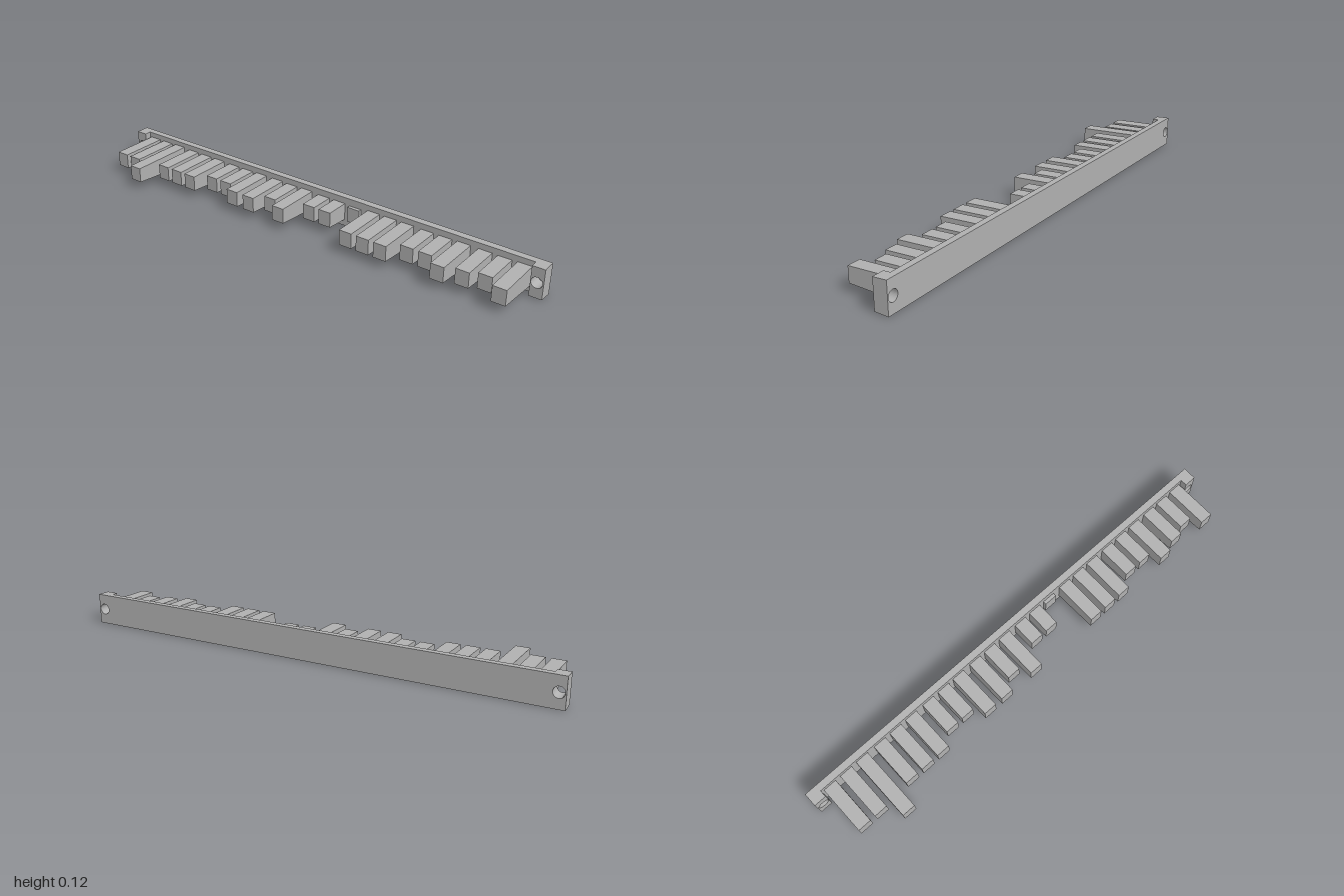
import * as THREE from 'three';

const BACK = -0.148, PLATE_FRONT = -0.12, TAB_FRONT = -0.092;
const MID_Y = 0.0635;

// Front z of every tooth, in eight groups of three from -x to +x
const TEETH = [
  [0.08, 0.08, 0.148], [0.065, 0.065, 0.065], [0.02, 0.02, 0.065], [0.065, 0.02, 0.065],
  [-0.022, -0.022, -0.106], [0.065, 0.065, 0.065], [0.02, 0.02, 0.065], [0.042, 0.02, 0.065],
];

// Slab between x0 and x1 with round holes, its height narrowing towards the front
function slab(x0, x1, z0, z1, holeXs) {
  const h = 0.0625;
  const shape = new THREE.Shape([[x0, -h], [x1, -h], [x1, h], [x0, h]].map(p => new THREE.Vector2(...p)));
  for (const x of holeXs) {
    shape.holes.push(new THREE.Path().absarc(x, 0, 0.022, 0, Math.PI * 2, true));
  }
  const geo = new THREE.ExtrudeGeometry(shape, { depth: z1 - z0, bevelEnabled: false, curveSegments: 16 });
  geo.translate(0, 0, z0);
  const pos = geo.attributes.position;
  for (let i = 0; i < pos.count; i++) {
    const taper = 1 - 0.8 * (pos.getZ(i) - BACK);
    pos.setY(i, MID_Y + pos.getY(i) * taper);
  }
  geo.computeVertexNormals();
  return geo;
}

// Tooth with a fixed tip height, getting taller towards the plate
function tooth(front) {
  const length = front - PLATE_FRONT;
  const geo = new THREE.BoxGeometry(0.055, 0.062, length).toNonIndexed();
  const pos = geo.attributes.position;
  for (let i = 0; i < pos.count; i++) {
    if (pos.getZ(i) < 0) pos.setY(i, Math.sign(pos.getY(i)) * (0.031 + 0.04 * length));
  }
  geo.computeVertexNormals();
  geo.translate(0, 0, (front + PLATE_FRONT) / 2);
  return geo;
}

export function createModel() {
  const model = new THREE.Group();
  model.name = 'toothedBar';
  const grey = new THREE.MeshStandardMaterial({ color: 0xb0b0b0 });
  grey.name = 'grey';

  const add = (name, geo, x = 0, y = 0) => {
    const mesh = new THREE.Mesh(geo, grey);
    mesh.name = name;
    mesh.position.set(x, y, 0);
    model.add(mesh);
  };

  // Back plate and the raised screw tab at each end
  add('backPlate', slab(-1, 1, BACK, PLATE_FRONT, [-0.974, 0.974]));
  add('rightEndTab', slab(-1, -0.95, PLATE_FRONT, TAB_FRONT, [-0.974]));
  add('leftEndTab', slab(0.95, 1, PLATE_FRONT, TAB_FRONT, [0.974]));

  // Teeth
  TEETH.forEach((group, g) => group.forEach((front, i) => {
    add(`tooth${g * 3 + i + 1}`, tooth(front), -0.913 + g * 0.239 + i * 0.0765, MID_Y + 0.0005);
  }));
  return model;
}
